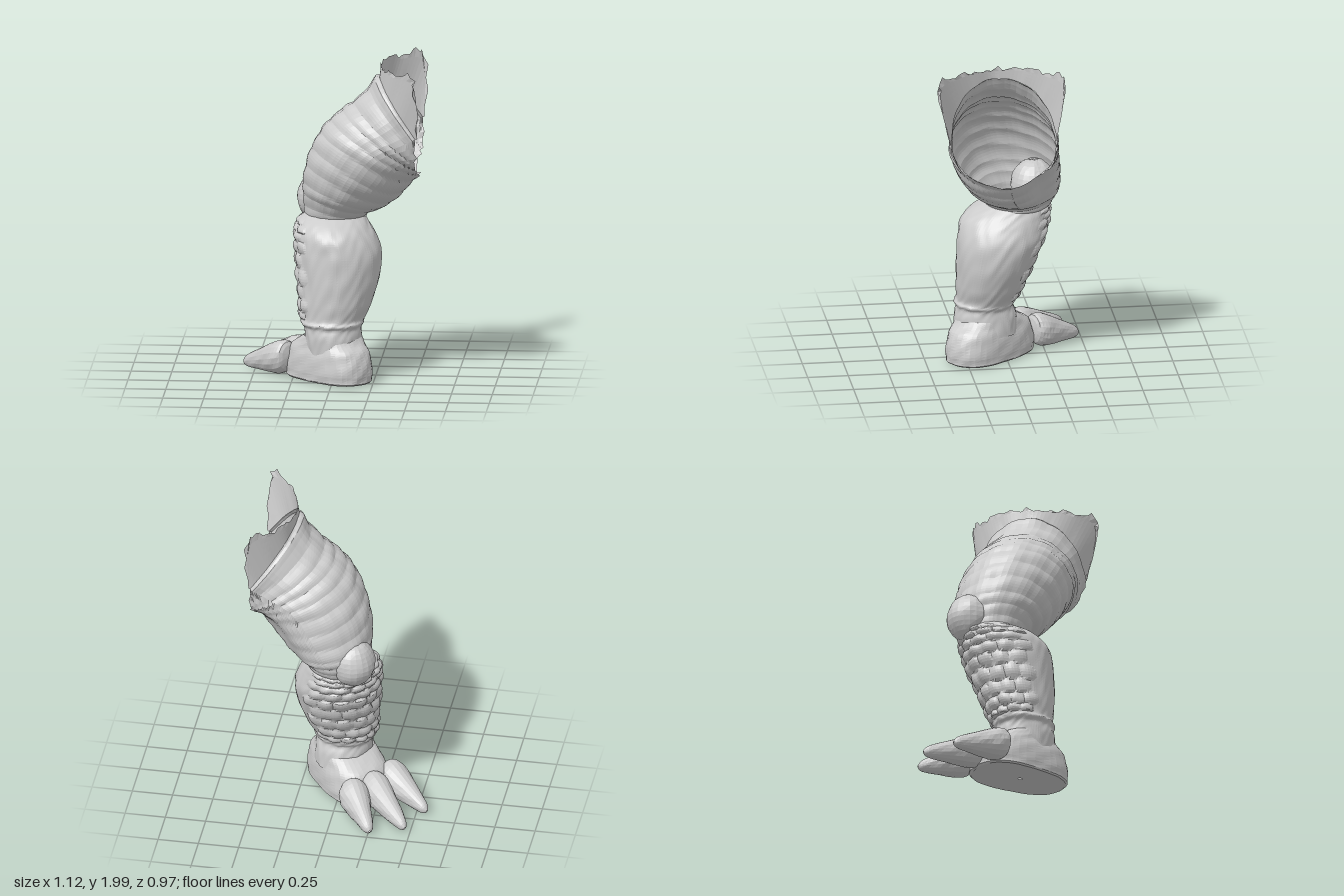
import * as THREE from 'three';

const material = new THREE.MeshStandardMaterial({ color: 0xcccccc, flatShading: true, side: THREE.DoubleSide });
const TAU = Math.PI * 2;

// Small seeded noise in -1..1, and a soft unevenness that repeats around b
function noise(a, b = 0) {
  const s = Math.sin(a * 127.1 + b * 311.7) * 43758.5453;
  return (s - Math.floor(s)) * 2 - 1;
}
const ripple = (a, b) => Math.sin(a * 3 + Math.sin(b * 2) * 2) * Math.sin(b * 4 + a);
const bell = (x, mid, width) => Math.exp(-(((x - mid) / width) ** 2));

// Smooth interpolation through rows of numbers, t in 0..1
function sample(rows, t) {
  const n = rows.length - 1;
  const i = Math.min(Math.floor(t * n), n - 1);
  const f = t * n - i;
  const row = k => rows[Math.max(0, Math.min(n, k))];
  return rows[i].map((p1, c) => {
    const p0 = row(i - 1)[c], p2 = row(i + 1)[c], p3 = row(i + 2)[c];
    return p1 + 0.5 * f * (p2 - p0 + f * (2 * p0 - 5 * p1 + 4 * p2 - p3 + f * (3 * (p1 - p2) + p3 - p0)));
  });
}

// Surface from a function of (u, v, column); u runs along the part, v around it
function surface(name, nu, nv, fn) {
  const pos = [], index = [];
  for (let i = 0; i <= nu; i++)
    for (let j = 0; j <= nv; j++) pos.push(...fn(i / nu, j / nv, j).toArray());
  for (let i = 0; i < nu; i++)
    for (let j = 0; j < nv; j++) {
      const a = i * (nv + 1) + j, b = a + 1, c = a + nv + 1, d = c + 1;
      index.push(a, c, b, b, c, d);
    }
  const g = new THREE.BufferGeometry();
  g.setAttribute('position', new THREE.Float32BufferAttribute(pos, 3));
  g.setIndex(index);
  g.computeVertexNormals();
  const mesh = new THREE.Mesh(g, material);
  mesh.name = name;
  return mesh;
}

// Thigh rings: outer side x, y; inner side x, y; back z, front z
const thighRings = [
  [-0.19, 0.98, 0.18, 0.98, -0.27, 0.11],
  [-0.20, 1.10, 0.21, 1.02, -0.31, 0.16],
  [-0.20, 1.22, 0.30, 1.06, -0.33, 0.24],
  [-0.16, 1.40, 0.41, 1.15, -0.32, 0.32],
  [-0.08, 1.56, 0.52, 1.27, -0.30, 0.37],
  [0.03, 1.67, 0.60, 1.30, -0.28, 0.38],
  [0.14, 1.76, 0.68, 1.28, -0.26, 0.385],
  [0.28, 1.91, 0.76, 1.24, -0.25, 0.40],
];
function thighPoint(u, v) {
  const [lx, ly, rx, ry, z0, z1] = sample(thighRings, u);
  const a = v * TAU, c = Math.cos(a), s = Math.sin(a);
  const panel = bell(v, 0.89, 0.07) * bell(u, 0.45, 0.27);
  const ribs = 0.024 * Math.abs(Math.sin(u * Math.PI * 11 + 0.6 * Math.sin(a * 2))) * (1 - panel);
  const columns = 0.014 * Math.abs(Math.sin(a * 7)) * (c < 0.3 ? 1 : 0);
  const k = 0.975 + ribs + columns + 0.03 * bell(u, 0.97, 0.02) - 0.12 * panel + 0.01 * ripple(u * 9, a);
  return new THREE.Vector3(
    (lx + rx) / 2 + (rx - lx) / 2 * c * k,
    (ly + ry) / 2 + (ry - ly) / 2 * c * k,
    (z0 + z1) / 2 + (z1 - z0) / 2 * s * k);
}
// How far each lengthwise strip reaches before the torn edge
function thighReach(v) {
  const c = Math.cos(v * TAU);
  const x = u => {
    const [lx, , rx] = sample(thighRings, u);
    return (lx + rx) / 2 + (rx - lx) / 2 * c;
  };
  let lo = 0.3, hi = 1;
  for (let i = 0; i < 20; i++) {
    const mid = (lo + hi) / 2;
    if (x(mid) < 0.52) lo = mid; else hi = mid;
  }
  return hi;
}
function tornThigh(u, v, j) {
  const reach = thighReach(v);
  const tear = u === 1 && reach < 0.98 ? 0.03 * noise(j % 56) : 0;
  return thighPoint(Math.min(1, u * reach + tear), v);
}

// Shin rings: y, left x, right x, back z, front z
const shinRings = [
  [0.18, -0.17, 0.18, -0.08, 0.31], [0.28, -0.175, 0.175, -0.07, 0.315],
  [0.34, -0.18, 0.17, -0.05, 0.305], [0.37, -0.20, 0.185, -0.06, 0.315],
  [0.40, -0.20, 0.19, -0.07, 0.30], [0.50, -0.21, 0.235, -0.115, 0.305],
  [0.65, -0.225, 0.28, -0.175, 0.305], [0.80, -0.235, 0.285, -0.235, 0.295],
  [0.90, -0.24, 0.245, -0.26, 0.27], [0.97, -0.225, 0.20, -0.27, 0.20],
  [1.02, -0.19, 0.17, -0.25, 0.10],
];
// Staggered low knobs on the toe side of the shin, fading out to the sides
function shinScale(u, v) {
  const row = (u - 0.42) / 0.062, r = Math.round(row);
  const col = (v - 0.625) / 0.066 + (r % 2 ? 0.25 : -0.25), c = Math.round(col);
  if (r < 0 || r > 8 || Math.abs(c) > 3) return 0;
  const d = Math.hypot(row - r - 0.12 * noise(r, c), col - c - 0.12 * noise(c, r)) / 0.6;
  return 0.024 * Math.max(0, 1 - d * d) * (1 - 0.12 * Math.abs(c));
}
function shinPoint(u, v) {
  const [y, x0, x1, z0, z1] = sample(shinRings, u);
  const a = v * TAU, bump = shinScale(u, v);
  const k = 1 + 0.012 * ripple(u * 8, a * 2) + 0.008 * ripple(u * 15, a * 3);
  return new THREE.Vector3(
    (x0 + x1) / 2 + ((x1 - x0) / 2 * k + bump) * Math.cos(a), y,
    (z0 + z1) / 2 + ((z1 - z0) / 2 * k + bump) * Math.sin(a));
}

// Foot rings in the direction of the toes: y, heel end, toe end, half width
const footRings = [
  [0.02, 0.05, 0.08, 0.01], [0.012, -0.21, 0.36, 0.165], [0.05, -0.245, 0.39, 0.185],
  [0.11, -0.245, 0.39, 0.185], [0.17, -0.23, 0.37, 0.18], [0.215, -0.21, 0.34, 0.17],
  [0.25, -0.165, 0.28, 0.165], [0.285, -0.135, 0.215, 0.16],
];
function footPoint(u, v) {
  const [y, heel, toe, w] = sample(footRings, u);
  const a = v * TAU, k = 1 + 0.012 * ripple(u * 6, a * 2);
  // squarer than an ellipse and broader towards the toes
  const round = t => Math.sign(t) * Math.abs(t) ** 0.85;
  const along = (heel + toe) / 2 + (toe - heel) / 2 * round(Math.cos(a)) * k;
  const across = 0.01 + w * round(Math.sin(a)) * k * (1 + 0.5 * Math.max(0, along));
  return new THREE.Vector3(
    0.02 - 0.67 * along + 0.74 * across, Math.max(y, 0.01), 0.16 - 0.74 * along - 0.67 * across);
}

// A clawed toe tapering from root to tip, flat underneath
function makeToe(name, root, tip) {
  const [rx, rz] = root, [tx, tz] = tip;
  const len = Math.hypot(tx - rx, tz - rz), dx = (tx - rx) / len, dz = (tz - rz) / len;
  const profile = [[0, 0.01], [0.05, 0.075], [0.2, 0.092], [0.4, 0.08], [0.6, 0.062], [0.8, 0.045], [0.94, 0.028], [1, 0.004]];
  return surface(name, 20, 18, (u, v) => {
    const [t, r] = sample(profile, u);
    const a = v * TAU, w = r * Math.cos(a) * (1 + 0.05 * ripple(u * 6 + rx * 20, a));
    const y = 0.14 - 0.095 * t + r * 1.15 * Math.sin(a);
    return new THREE.Vector3(rx + dx * len * t + dz * w, Math.max(y, 0.015), rz + dz * len * t - dx * w);
  });
}

// Torn collar flaring from the upper half of the thigh rim
function makeCollar() {
  const edge = new THREE.CatmullRomCurve3([
    [0.54, 1.58, 0.41], [0.52, 1.975, 0.48], [0.39, 1.975, 0.36], [0.32, 1.975, 0.23],
    [0.285, 1.975, 0.08], [0.31, 1.975, -0.07], [0.395, 1.975, -0.2], [0.52, 1.975, -0.295],
    [0.54, 1.58, -0.25],
  ].map(p => new THREE.Vector3(...p)), false, 'centripetal');
  return surface('tornCollar', 6, 48, (u, s, j) => {
    const p = thighPoint(1, 0.25 + 0.5 * s).lerp(edge.getPoint(s), u);
    p.x = Math.min(p.x, 0.53);
    if (u === 1) {
      p.x += 0.022 * noise(j, 3) * (p.x > 0.48 ? 1 : 0.2);
      p.y += 0.018 * noise(j, 5);
    }
    return p;
  });
}

// Rounded, slightly uneven kneecap
function makeKnee() {
  const knee = surface('kneecap', 16, 22, (u, v) => {
    const t = (u - 0.5) * Math.PI, a = v * TAU, r = 1 + 0.02 * ripple(u * 5, a);
    return new THREE.Vector3(Math.cos(t) * Math.cos(a) * r, Math.sin(t) * r, Math.cos(t) * Math.sin(a) * r);
  });
  knee.position.set(-0.105, 1.08, -0.19);
  knee.rotation.y = Math.PI / 4;
  knee.scale.set(0.14, 0.155, 0.145);
  return knee;
}

export function createModel() {
  const model = new THREE.Group();
  model.name = 'leg';
  model.add(
    surface('thigh', 66, 56, tornThigh),
    makeCollar(),
    makeKnee(),
    surface('shin', 90, 96, shinPoint),
    surface('foot', 24, 40, footPoint),
    makeToe('outerToe', [-0.27, 0.07], [-0.57, -0.20]),
    makeToe('middleToe', [-0.19, -0.07], [-0.47, -0.41]),
    makeToe('innerToe', [-0.09, -0.17], [-0.265, -0.485]),
  );
  return model;
}
